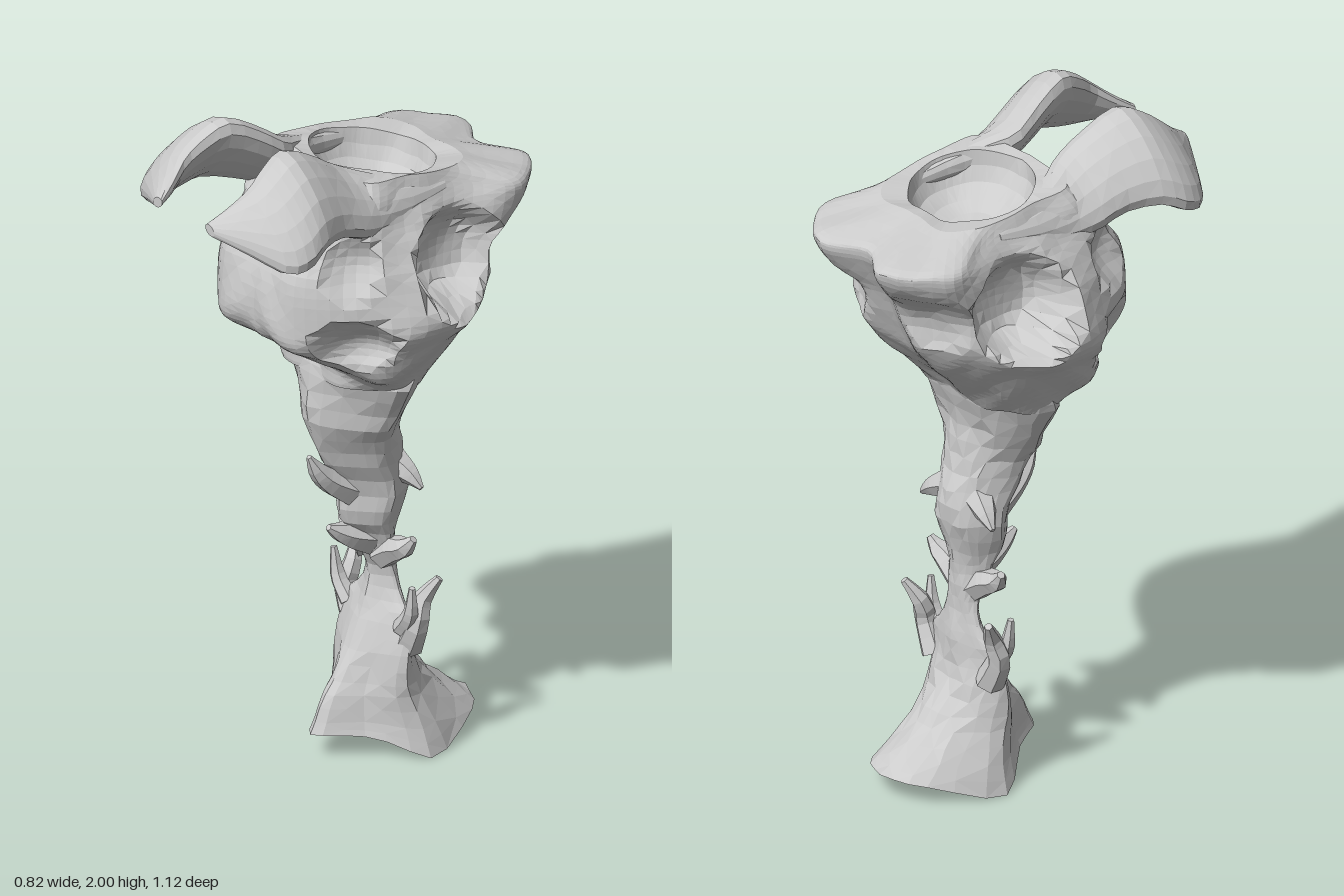
import * as THREE from 'three';

const V = (x, y, z) => new THREE.Vector3(x, y, z);
const { lerp, clamp, smoothstep } = THREE.MathUtils;
const material = new THREE.MeshStandardMaterial({ color: 0xcccccc, flatShading: true, side: THREE.DoubleSide });

// Skin a list of closed rings and cap both ends.
function skin(name, rings) {
  const n = rings[0].length, pos = [], idx = [];
  rings.forEach(r => r.forEach(p => pos.push(p.x, p.y, p.z)));
  for (let i = 0; i < rings.length - 1; i++) {
    for (let j = 0; j < n; j++) {
      const a = i * n + j, b = i * n + (j + 1) % n, c = a + n, d = b + n;
      if ((i + j) % 2) idx.push(a, b, c, b, d, c);
      else idx.push(a, b, d, a, d, c);
    }
  }
  const last = (rings.length - 1) * n, centre = rings.length * n;
  [rings[0], rings[rings.length - 1]].forEach(r => {
    const c = r.reduce((s, p) => s.add(p), V(0, 0, 0)).divideScalar(n);
    pos.push(c.x, c.y, c.z);
  });
  for (let j = 0; j < n; j++) {
    const k = (j + 1) % n;
    idx.push(centre, k, j, centre + 1, last + j, last + k);
  }
  const g = new THREE.BufferGeometry();
  g.setAttribute('position', new THREE.Float32BufferAttribute(pos, 3));
  g.setIndex(idx);
  g.computeVertexNormals();
  const mesh = new THREE.Mesh(g, material);
  mesh.name = name;
  return mesh;
}

const mirrorRings = rings => rings.map(r => r.map(p => V(-p.x, p.y, p.z)).reverse());

// Smooth symmetric loft; each section is [y, x, z, x, z, ...] from front centre to back centre.
function loft(sections, around, rows) {
  const count = (sections[0].length - 1) / 2;
  const rails = Array.from({ length: count }, (_, k) => new THREE.CatmullRomCurve3(
    sections.map(s => V(s[1 + 2 * k], s[0], s[2 + 2 * k])), false, 'catmullrom', 0.4));
  return Array.from({ length: rows + 1 }, (_, i) => {
    const half = rails.map(c => c.getPoint(i / rows));
    const other = half.slice(1, -1).reverse().map(p => V(-p.x, p.y, p.z));
    const outline = new THREE.CatmullRomCurve3([...half, ...other], true, 'catmullrom', 0.45);
    return Array.from({ length: around }, (_, j) => outline.getPoint(j / around));
  });
}

// Gentle uneven facets, the same on both sides.
function roughen(rings, amount) {
  rings.forEach(r => r.forEach(p => {
    const s = Math.sin(Math.abs(p.x) * 31 + p.y * 27 + p.z * 33) * amount;
    const t = Math.sin(Math.abs(p.x) * 37 - p.y * 43 + p.z * 31) * amount;
    p.set(p.x * (1 + s * 3), p.y + t * 0.6, p.z + s);
  }));
}

// Tapering spur along a path of [x, y, z, radius].
function spur(path) {
  const curve = new THREE.CatmullRomCurve3(path.map(p => V(p[0], p[1], p[2])));
  const steps = 7, sides = 6, frames = curve.computeFrenetFrames(steps);
  return Array.from({ length: steps + 1 }, (_, i) => {
    const u = i / steps, f = u * (path.length - 1), k = Math.min(Math.floor(f), path.length - 2);
    const radius = lerp(path[k][3], path[k + 1][3], f - k);
    const c = curve.getPoint(u);
    return Array.from({ length: sides }, (_, j) => {
      const a = j / sides * Math.PI * 2;
      return c.clone().addScaledVector(frames.normals[i], Math.cos(a) * radius)
        .addScaledVector(frames.binormals[i], Math.sin(a) * radius);
    });
  });
}

// Head: narrow throat, overhanging face, wide cheeks, lobed back and hollow crown.
function head() {
  const rings = loft([
    [1.20, 0, .10, .14, .09, .235, 0, .255, -.06, .225, -.12, .15, -.17, .075, -.18, 0, -.18],
    [1.27, 0, .11, .15, .12, .28, .09, .305, 0, .27, -.14, .19, -.21, .09, -.24, 0, -.235],
    [1.37, 0, .28, .16, .28, .3, .16, .365, 0, .34, -.15, .24, -.27, .12, -.34, 0, -.33],
    [1.45, 0, .31, .16, .31, .31, .18, .41, -.06, .38, -.2, .26, -.32, .12, -.4, 0, -.375],
    [1.60, 0, .28, .15, .29, .28, .17, .365, -.05, .345, -.21, .27, -.38, .13, -.47, 0, -.43],
    [1.72, 0, .19, .13, .2, .26, .13, .28, -.06, .27, -.26, .3, -.42, .14, -.56, 0, -.49],
    [1.785, 0, .13, .14, .14, .25, .08, .24, -.08, .24, -.28, .285, -.41, .14, -.54, 0, -.48],
    [1.84, 0, .1, .13, .08, .21, .05, .215, -.1, .21, -.23, .17, -.31, .09, -.34, 0, -.33],
  ], 76, 36);
  // Dents: centre, radii, push (mirrored)
  const dents = [
    [[.29, 1.40, .18], [.12, .09, .15], [-.045, .01, -.06]],
    [[.26, 1.63, .16], [.08, .1, .1], [-.035, 0, -.03]],
    [[.19, 1.57, -.41], [.13, .11, .15], [-.02, 0, .045]],
  ];
  rings.forEach(r => r.forEach(p => {
    const side = Math.sign(p.x), q = V(Math.abs(p.x), p.y, p.z);
    // Side socket, a smooth bowl
    const d = ((q.y - 1.585) / .165) ** 2 + ((q.z + .185) / .18) ** 2;
    const outer = q.x;
    if (d < 1) q.x = Math.min(outer, lerp(outer, .2 + .03 * d, smoothstep(1 - d, 0, .75)));
    for (const [c, rad, push] of dents) {
      const e = ((outer - c[0]) / rad[0]) ** 2 + ((q.y - c[1]) / rad[1]) ** 2 + ((q.z - c[2]) / rad[2]) ** 2;
      if (e < 1) q.addScaledVector(V(...push), 1 - e);
    }
    // Crown tilts down to the back
    if (q.y > 1.74) q.y += (q.y - 1.74) * (q.z + .1) * 1.2;
    p.set(side * q.x, q.y, q.z);
  }));
  // Round hollow crown
  const rim = rings[rings.length - 1];
  for (const [s, drop] of [[1, .005], [.95, .05], [.85, .09], [.65, .12], [.4, .14], [.15, .145]]) {
    rings.push(rim.map(p => {
      const a = Math.atan2(p.x, p.z + .115);
      return V(Math.sin(a) * .19 * s, p.y * s + 1.84 * (1 - s) - drop, -.115 + Math.cos(a) * .178 * s);
    }));
  }
  roughen(rings, .004);
  return skin('head', rings);
}

// Neck and flared foot: rows of y, half width, front z, back z.
function neck() {
  const rows = [
    [.07, .215, .11, -.45], [.11, .19, .09, -.39], [.18, .165, .05, -.3], [.26, .16, -.01, -.23],
    [.35, .16, -.06, -.19], [.42, .135, -.085, -.19], [.48, .08, -.1, -.19], [.55, .06, -.1, -.18],
    [.63, .08, -.07, -.175], [.7, .095, -.01, -.19], [.8, .12, 0, -.215], [.9, .125, .05, -.205],
    [1, .15, .1, -.175], [1.1, .215, .115, -.165], [1.2, .272, .115, -.195], [1.25, .28, .1, -.21],
  ];
  const rings = loft(rows.map(([y, w, f, b]) => {
    const m = clamp((f + b) / 2, -.16, -.04);
    const front = y < .3 ? .45 : .62, back = y < .3 ? .58 : .62;
    return [y, 0, f, w * front, m + (f - m) * .55, w, m, w * back, m + (b - m) * .75, 0, b];
  }), 24, 30);
  roughen(rings, .006);
  // Pointed side corners and shallow underside of the foot
  rings.slice(0, 4).forEach((r, i) => r.forEach(p => {
    p.y -= .07 * (1 - i / 4) * Math.min(1, Math.abs(p.x) / .21) ** 3;
  }));
  rings[0].forEach(p => { p.y = Math.max(p.y, 0); });
  rings.unshift(rings[0].map(p => V(p.x * .5, .08, -.16 + (p.z + .16) * .5)));
  return skin('neckAndFoot', rings);
}

// Brow horn: slanted slab, rows of z, inner x, y, outer x, y, half thickness.
function hornRings() {
  const rows = [
    [-.2, .19, 1.8, .23, 1.76, .025], [-.06, .17, 1.83, .245, 1.73, .04], [.04, .13, 1.86, .26, 1.72, .05],
    [.12, .09, 1.89, .28, 1.73, .06], [.21, .1, 1.95, .29, 1.76, .065], [.31, .115, 1.995, .335, 1.77, .065],
    [.38, .13, 1.965, .36, 1.74, .06], [.44, .14, 1.92, .345, 1.73, .05], [.5, .12, 1.87, .25, 1.77, .035],
    [.56, .1, 1.83, .14, 1.81, .015],
  ];
  const track = (x, y) => new THREE.CatmullRomCurve3(rows.map(r => V(r[x], r[y], r[0])));
  const inner = track(1, 2), outer = track(3, 4), steps = 20;
  return Array.from({ length: steps + 1 }, (_, i) => {
    const u = i / steps, f = u * (rows.length - 1), k = Math.min(Math.floor(f), rows.length - 2);
    const t = lerp(rows[k][5], rows[k + 1][5], f - k);
    const a = inner.getPoint(u), b = outer.getPoint(u), mid = a.clone().lerp(b, .5);
    const major = b.sub(mid), minor = V(-major.y, major.x, 0).setLength(t);
    return Array.from({ length: 14 }, (_, j) => {
      const w = j / 14 * Math.PI * 2;
      return mid.clone().addScaledVector(major, Math.cos(w)).addScaledVector(minor, Math.sin(w));
    });
  });
}

export function createModel() {
  const model = new THREE.Group();
  model.add(head(), neck());

  // Mirrored parts
  const pairs = {
    Horn: hornRings(),
    FootSpur: spur([[.12, .32, -.15, .045], [.165, .41, -.15, .035], [.16, .47, -.17, .03], [.19, .54, -.21, .012]]),
    FootKnob: spur([[.12, .38, -.13, .03], [.165, .44, -.125, .025], [.18, .53, -.12, .01]]),
    NeckWing: spur([[.03, .58, -.13, .045], [.09, .62, -.13, .04], [.13, .635, -.13, .032], [.16, .67, -.14, .012]]),
    NeckBarb: spur([[.06, .88, -.14, .05], [.12, .85, -.16, .03], [.16, .82, -.17, .008]]),
  };
  for (const [name, rings] of Object.entries(pairs)) {
    model.add(skin('left' + name, rings), skin('right' + name, mirrorRings(rings)));
  }

  // Hooks down the front of the neck
  model.add(
    skin('upperHook', spur([[0, .8, -.05, .06], [0, .85, .04, .04], [0, .89, .08, .028], [0, .94, .11, .008]])),
    skin('lowerHook', spur([[0, .64, -.1, .06], [0, .66, -.03, .04], [0, .68, .01, .025], [0, .7, .04, .01]])));
  return model;
}
